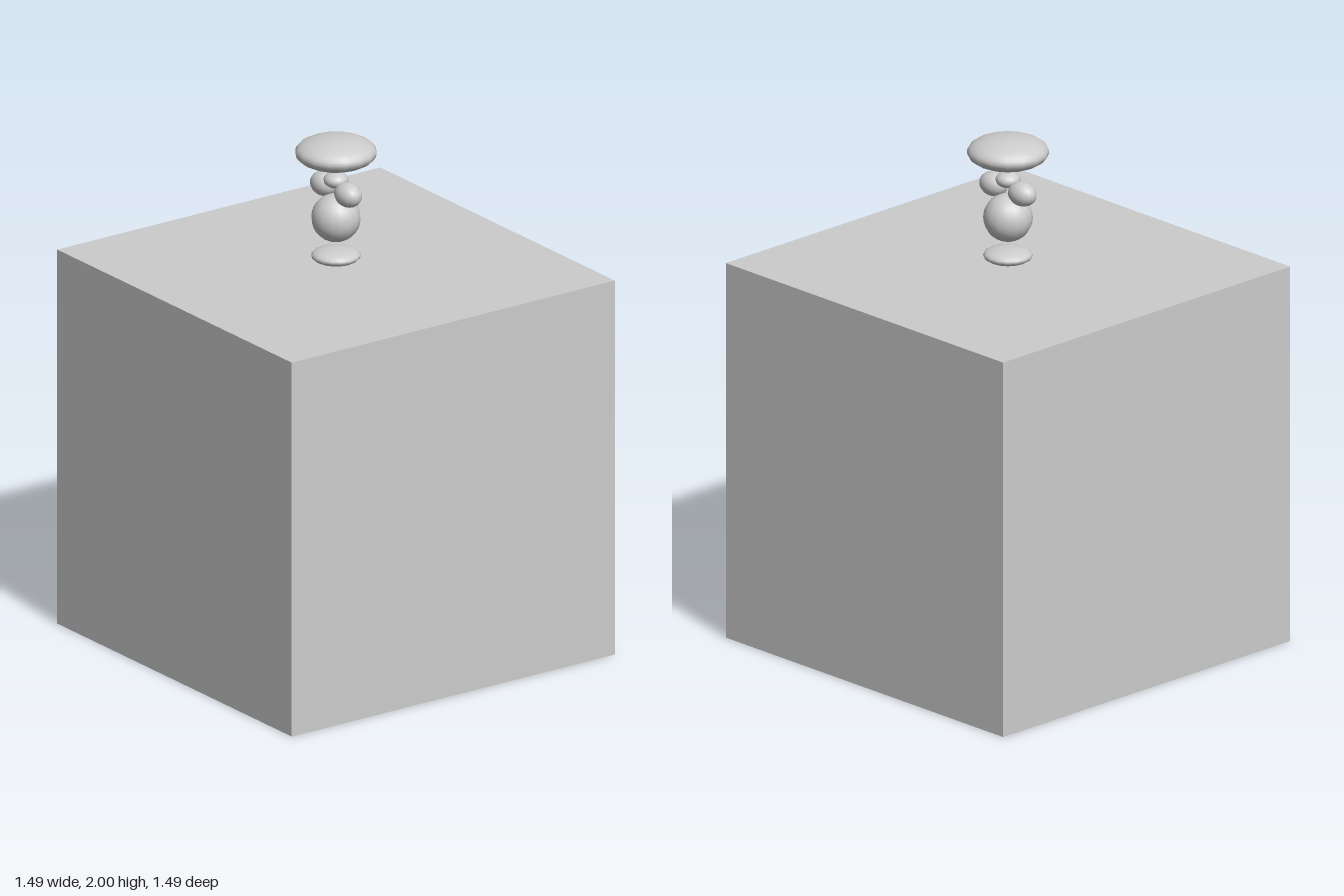
import * as THREE from 'three';

export function createModel() {
  const model = new THREE.Group();
  const grey = new THREE.MeshStandardMaterial({ color: 0xcccccc });
  grey.name = 'lightGrey';

  // Large cube pedestal
  const pedestal = new THREE.Mesh(new THREE.BoxGeometry(1.49, 1.49, 1.49), grey);
  pedestal.name = 'pedestal';
  pedestal.position.y = 0.745;
  model.add(pedestal);

  // Smooth ellipsoid, given its centre and radii
  function ellipsoid(name, [x, y], [rx, ry, rz]) {
    const geometry = new THREE.SphereGeometry(1, 16, 16).scale(rx, ry, rz);
    const mesh = new THREE.Mesh(geometry, grey);
    mesh.name = name;
    mesh.position.set(x, y, 0);
    model.add(mesh);
  }

  // Stacked ornament floating above the pedestal
  ellipsoid('baseDisc', [0, 1.53], [0.093, 0.031, 0.093]);
  ellipsoid('body', [0, 1.68], [0.093, 0.093, 0.093]);
  ellipsoid('centreBead', [0, 1.83], [0.047, 0.031, 0.047]);
  ellipsoid('topDisc', [0, 1.94], [0.154, 0.06, 0.154]);

  // Mirrored beads at the sides
  for (const [name, side] of [['leftBead', 1], ['rightBead', -1]]) {
    ellipsoid(name, [side * 0.077, 1.793], [0.061, 0.047, 0.047]);
  }

  return model;
}
